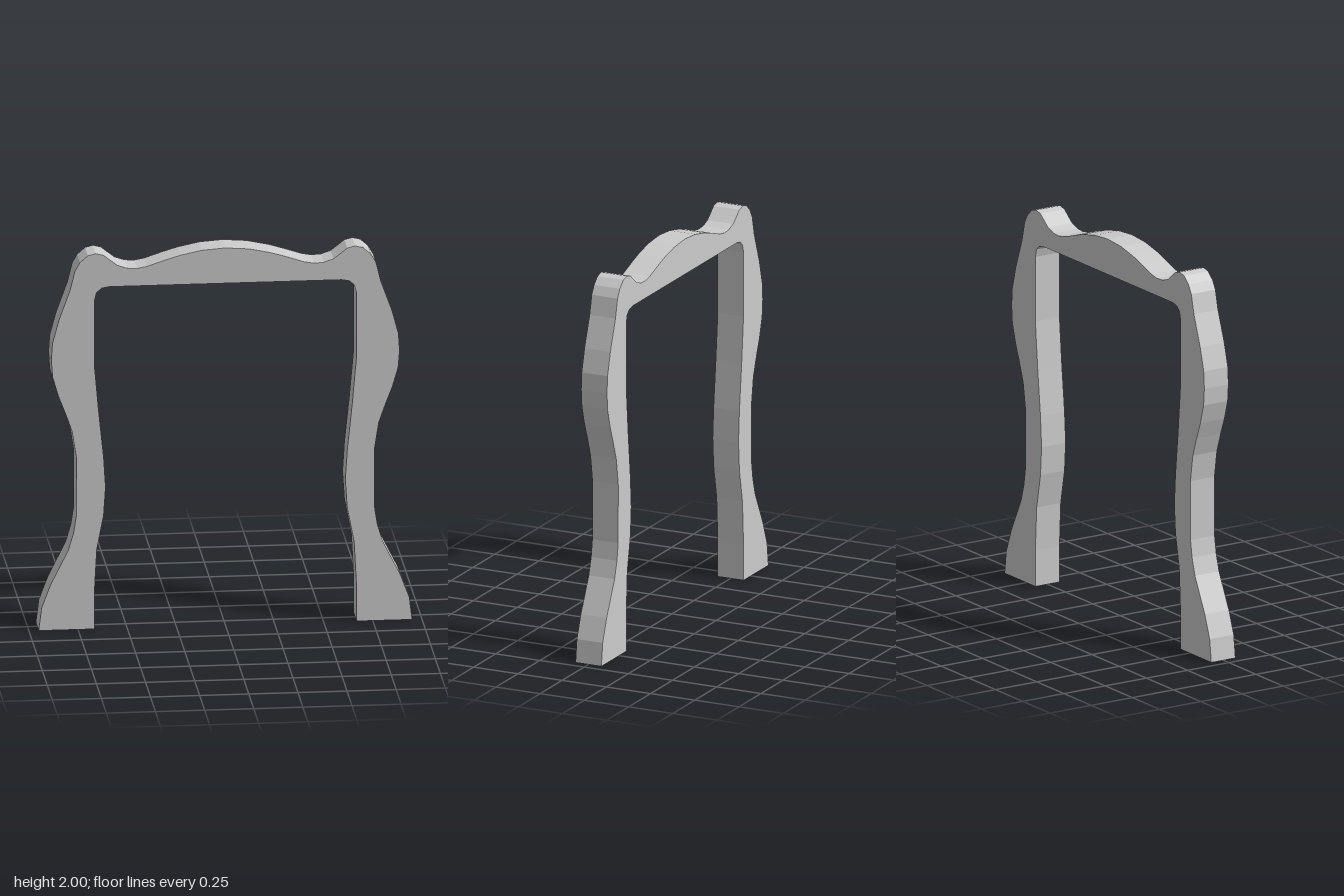
import * as THREE from 'three';

// Half profiles (x, y), mirrored about x = 0
const outer = [
  [0.95, 0], [0.935, 0.12], [0.89, 0.24], [0.80, 0.42], [0.773, 0.51], [0.759, 0.6],
  [0.758, 0.91], [0.78, 1.05], [0.815, 1.15], [0.85, 1.24], [0.879, 1.34], [0.886, 1.43],
  [0.88, 1.52], [0.848, 1.64], [0.79, 1.8], [0.766, 1.9], [0.74, 1.945], [0.7, 1.98],
  [0.66, 1.99], [0.62, 1.98], [0.58, 1.948], [0.55, 1.925], [0.5, 1.908], [0.45, 1.905],
  [0.4, 1.914], [0.31, 1.944], [0.23, 1.968], [0.12, 1.991], [0, 2],
];
const inner = [
  [0.59, 1.813], [0.63, 1.806], [0.656, 1.783], [0.667, 1.74], [0.667, 1.4], [0.645, 1.15],
  [0.62, 0.91], [0.61, 0.75], [0.62, 0.6], [0.655, 0.42], [0.667, 0.19], [0.667, 0],
];
const DEPTH = 0.146;

const mirror = (points) => points.map(([x, y]) => [-x, y]).reverse();

export function createModel() {
  const group = new THREE.Group();

  // Up the left outside, over the crest, down the right, then back along the opening
  const outline = [
    ...outer, ...mirror(outer).slice(1),
    ...mirror(inner), ...inner,
  ].map(([x, y]) => new THREE.Vector2(x, y));

  // The opening runs up the right leg, along the rail and down the left leg
  const geometry = new THREE.ExtrudeGeometry(new THREE.Shape(outline), {
    depth: DEPTH, bevelEnabled: false,
  });
  geometry.translate(0, 0, -DEPTH / 2);

  const frame = new THREE.Mesh(
    geometry,
    new THREE.MeshStandardMaterial({ color: 0xcccccc, flatShading: true }),
  );
  frame.name = 'archedFrame';
  group.add(frame);
  return group;
}
